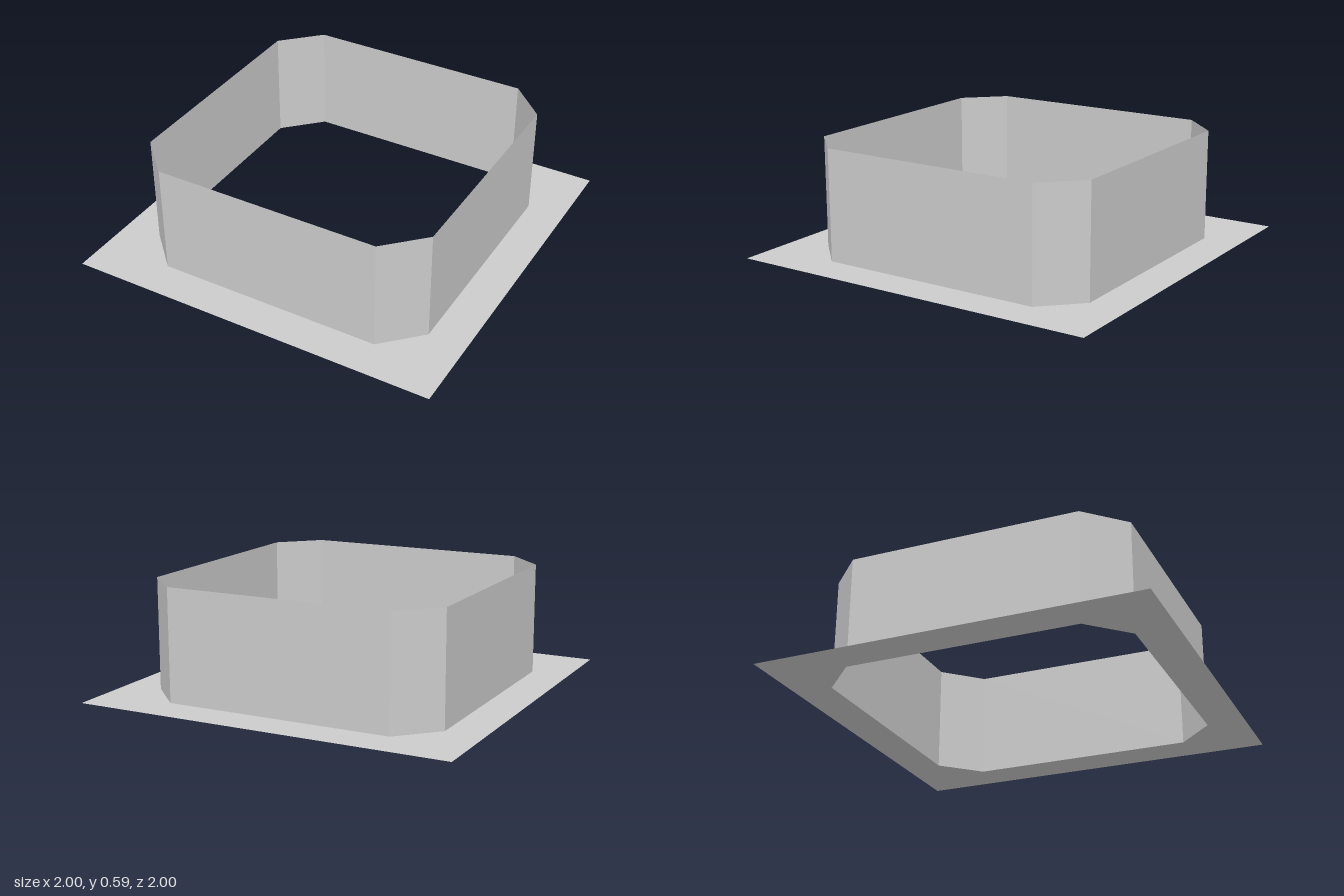
import * as THREE from 'three';

const HEIGHT = 0.59;
const material = new THREE.MeshStandardMaterial({
  color: 0xcccccc, flatShading: true, side: THREE.DoubleSide,
});

// Square outline with chamfered corners, counter-clockwise
function chamferedOutline(half, inner) {
  const points = [];
  for (let i = 0; i < 4; i++) {
    const centre = new THREE.Vector2();
    const angle = (i * Math.PI) / 2;
    points.push(
      new THREE.Vector2(half, inner).rotateAround(centre, angle),
      new THREE.Vector2(inner, half).rotateAround(centre, angle),
    );
  }
  return points;
}

// Open band of zero-thickness walls standing on the outline
function wallGeometry(outline, height) {
  const positions = [];
  outline.forEach((a, i) => {
    const b = outline[(i + 1) % outline.length];
    const a0 = [a.x, 0, -a.y], b0 = [b.x, 0, -b.y];
    const a1 = [a.x, height, -a.y], b1 = [b.x, height, -b.y];
    positions.push(...a0, ...b0, ...b1, ...a0, ...b1, ...a1);
  });
  const geometry = new THREE.BufferGeometry();
  geometry.setAttribute('position', new THREE.Float32BufferAttribute(positions, 3));
  geometry.computeVertexNormals();
  return geometry;
}

export function createModel() {
  const group = new THREE.Group();
  group.name = 'flangedCollar';
  const outline = chamferedOutline(0.798, 0.605);

  // Flat square flange with the chamfered opening
  const plate = new THREE.Shape([
    new THREE.Vector2(-1, -1), new THREE.Vector2(1, -1),
    new THREE.Vector2(1, 1), new THREE.Vector2(-1, 1),
  ]);
  plate.holes.push(new THREE.Path(outline));
  const flange = new THREE.Mesh(new THREE.ShapeGeometry(plate).rotateX(-Math.PI / 2), material);
  flange.name = 'flange';

  // Upright walls around the opening
  const walls = new THREE.Mesh(wallGeometry(outline, HEIGHT), material);
  walls.name = 'walls';

  group.add(flange, walls);
  return group;
}
